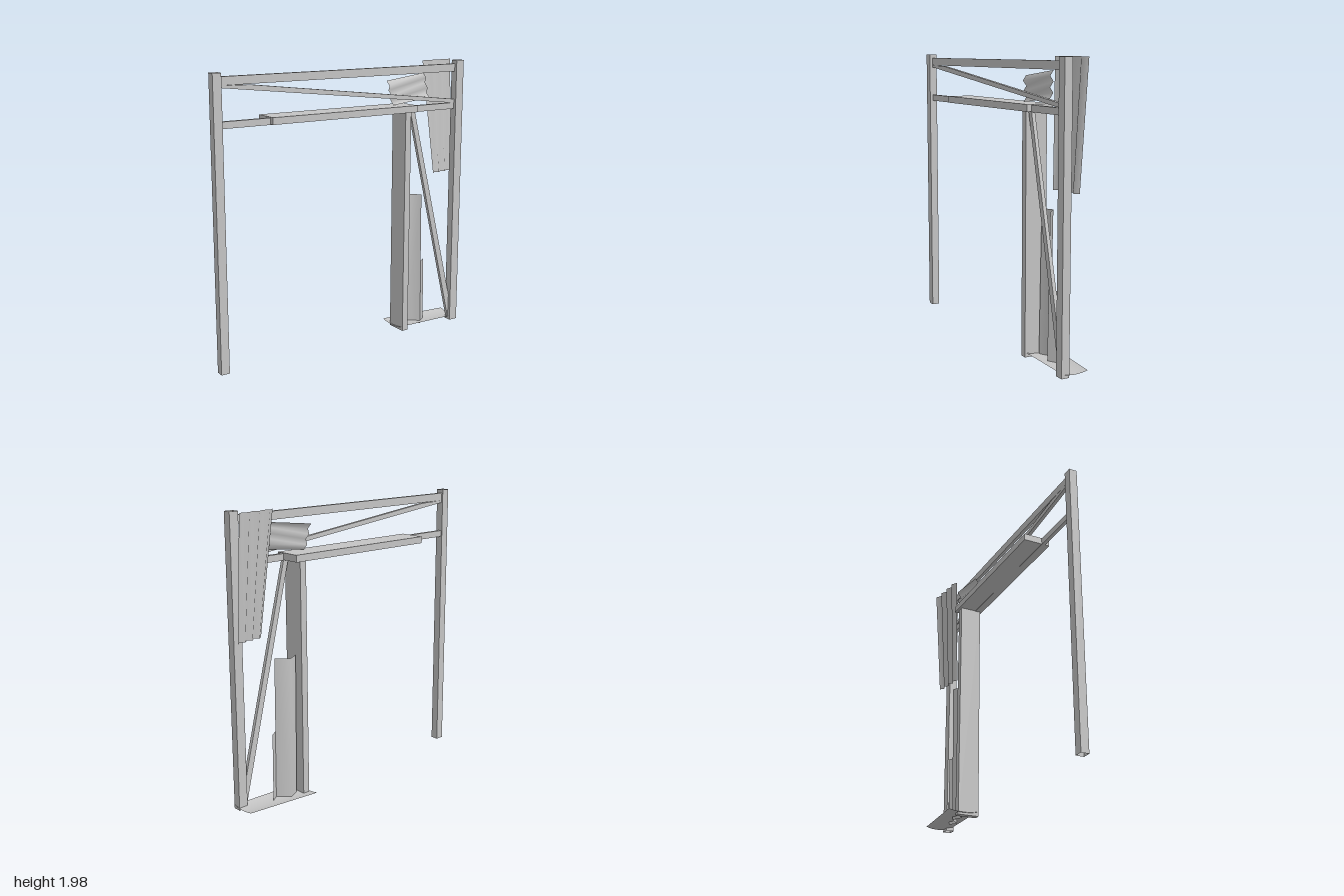
import * as THREE from 'three';

const steel = new THREE.MeshStandardMaterial({ color: 0xc4c4c4, side: THREE.DoubleSide });
steel.name = 'grey steel';

function add(group, name, geometry) {
  const mesh = new THREE.Mesh(geometry, steel);
  mesh.name = name;
  group.add(mesh);
  return mesh;
}

// Box given by its extents on each axis
function box(group, name, [x0, x1], [y0, y1], [z0, z1]) {
  const mesh = add(group, name, new THREE.BoxGeometry(x1 - x0, y1 - y0, z1 - z0));
  mesh.position.set((x0 + x1) / 2, (y0 + y1) / 2, (z0 + z1) / 2);
}

// Hollow square post, open at both ends
function post(group, name, x0, x1) {
  const tube = new THREE.CylinderGeometry(Math.SQRT1_2, Math.SQRT1_2, 1, 4, 1, true);
  tube.rotateY(Math.PI / 4);
  tube.scale(x1 - x0, 1.97, 0.056);
  const geometry = tube.toNonIndexed();
  geometry.computeVertexNormals();
  const mesh = add(group, name, geometry);
  mesh.position.set((x0 + x1) / 2, 0.995, 0.083);
}

// Flat brace cut to an outline in the front plane
function brace(group, name, points) {
  const shape = new THREE.Shape(points.map(([x, y]) => new THREE.Vector2(x, y)));
  const geometry = new THREE.ExtrudeGeometry(shape, { depth: 0.025, bevelEnabled: false });
  geometry.translate(0, 0, 0.065);
  add(group, name, geometry);
}

// Surface on a grid from a rule f(u, v) -> [x, y, z]
function surface(group, name, nu, nv, f) {
  const pos = [], index = [];
  for (let j = 0; j <= nv; j++) {
    for (let i = 0; i <= nu; i++) {
      pos.push(...f(i / nu, j / nv));
      if (i < nu && j < nv) {
        const a = j * (nu + 1) + i, b = a + nu + 1;
        index.push(a, a + 1, b + 1, a, b + 1, b);
      }
    }
  }
  const geometry = new THREE.BufferGeometry();
  geometry.setAttribute('position', new THREE.Float32BufferAttribute(pos, 3));
  geometry.setIndex(index);
  geometry.computeVertexNormals();
  add(group, name, geometry);
}

// Folded sheet between corners a, b (v = 0) and c, d (v = 1);
// folds lists the z offset of each crease along u
function folded(group, name, [a, b, c, d], folds) {
  const n = folds.length - 1;
  surface(group, name, n, 1, (u, v) => {
    const p = [0, 1, 2].map((k) =>
      (a[k] * (1 - u) + b[k] * u) * (1 - v) + (c[k] * (1 - u) + d[k] * u) * v);
    p[2] += folds[Math.round(u * n)];
    return p;
  });
}

// Even zigzag creases
const zigzag = (count, amp) => Array.from({ length: count }, (_, i) => (i % 2 ? -amp : amp));

export function createModel() {
  const model = new THREE.Group();

  // Main frame
  post(model, 'leftEndPost', 0.928, 0.993);
  post(model, 'rightEndPost', -1, -0.94);
  box(model, 'topRail', [-0.95, 0.94], [1.9, 1.955], [0.065, 0.09]);
  box(model, 'lowerRail', [-0.95, 0.935], [1.63, 1.675], [0.065, 0.09]);
  box(model, 'doorJamb', [0.482, 0.53], [0.01, 1.635], [-0.05, 0.105]);
  box(model, 'lintelBoard', [-0.59, 0.573], [1.633, 1.68], [-0.066, 0.122]);

  // Diagonal braces
  brace(model, 'upperBrace', [[-0.94, 1.885], [0.86, 1.68], [0.93, 1.675], [0.93, 1.7], [-0.73, 1.895], [-0.94, 1.9]]);
  brace(model, 'sideBrace', [[0.535, 1.633], [0.925, 0.03], [0.93, 0.2], [0.573, 1.633]]);

  // Torn corrugated sheets
  folded(model, 'hangingSheet',
    [[0.78, 1.16, 0.042], [1, 1.16, 0.012], [0.703, 1.98, -0.012], [1, 1.98, -0.042]], zigzag(8, 0.012));
  folded(model, 'wedgedSheet',
    [[0.41, 1.685, 0.043], [0.375, 1.855, 0.03], [0.73, 1.72, 0.04], [0.705, 1.895, 0.022]], zigzag(6, 0.012));
  folded(model, 'leaningSheetTall',
    [[0.545, 0.005, 0.003], [0.7, 0.005, 0.003], [0.545, 1.005, -0.011], [0.7, 1.005, -0.011]],
    [0.005, -0.036, 0.034]);
  folded(model, 'leaningSheetShort',
    [[0.7, 0.005, 0.003], [0.755, 0.005, 0.003], [0.7, 0.5, -0.004], [0.755, 0.5, -0.004]],
    [0.034, -0.005]);

  // Ground sheet, curling up at its long edges
  surface(model, 'groundSheet', 6, 8, (u, v) => {
    const back = -0.125 + 0.047 * u, front = 0.09 + 0.013 * u;
    const t = 1 - v;
    return [0.47 + 0.527 * u, 0.024 + 0.015 * t ** 4 + 0.014 * v ** 4, back * t + front * v];
  });

  return model;
}
